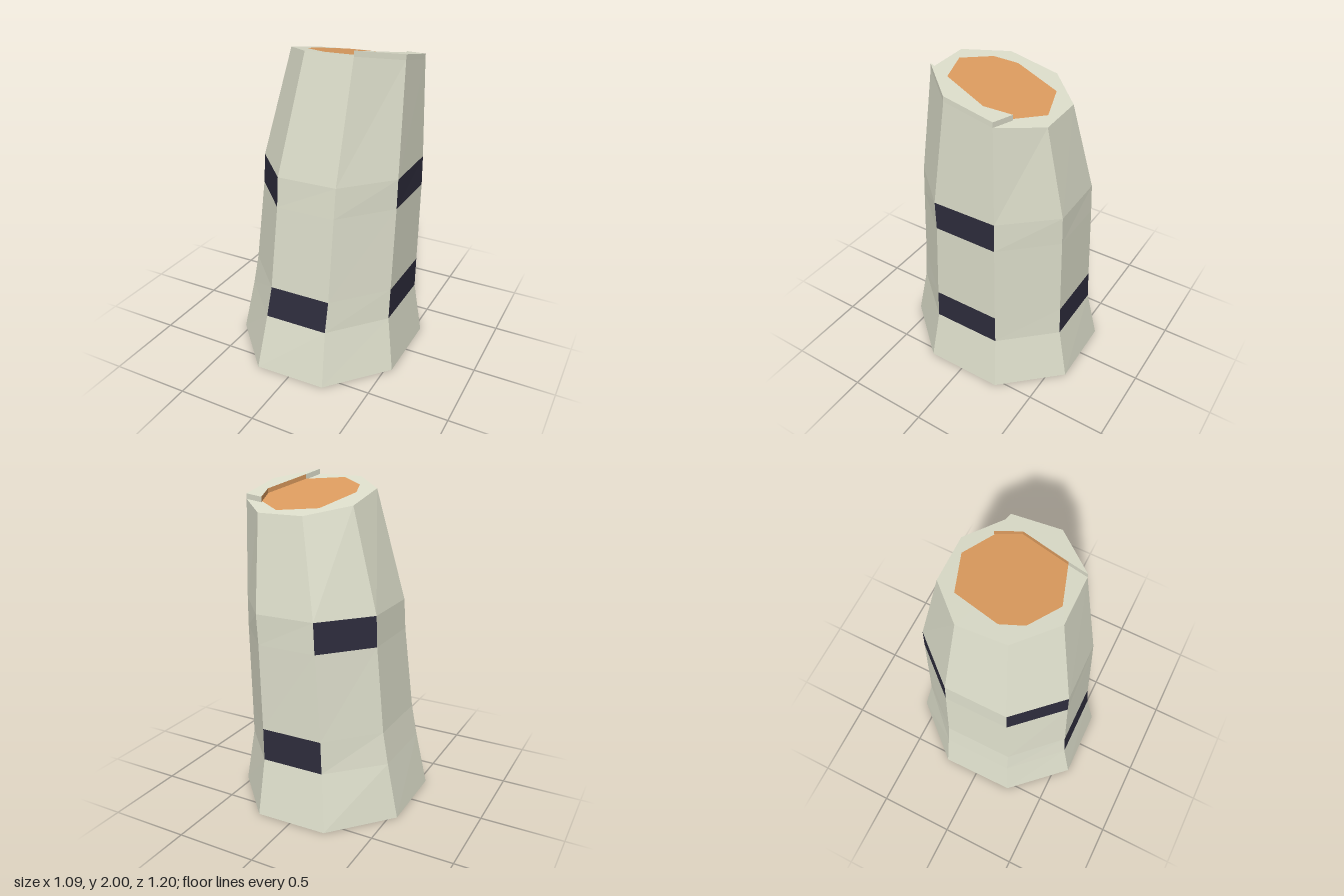
import * as THREE from 'three';

const bark = new THREE.MeshStandardMaterial({ color: 0xdcddca, side: THREE.DoubleSide });
bark.name = 'paleBark';
const dark = new THREE.MeshStandardMaterial({ color: 0x2d2c3c, side: THREE.DoubleSide });
dark.name = 'darkBark';
const wood = new THREE.MeshStandardMaterial({ color: 0xdc9b5e, side: THREE.DoubleSide });
wood.name = 'heartwood';

// Slanted cut across the top of the trunk
const cutY = (z) => 1.91 + 0.2 * z;
const CHIP = 0.032;

// Eight-sided cross-sections [x, z], counterclockwise seen from above, from the front face's -x corner
const sections = [
  [0, [[-0.22, 0.595], [0.23, 0.585], [0.54, 0.235], [0.54, -0.26], [0.22, -0.6], [-0.23, -0.59], [-0.545, -0.235], [-0.54, 0.255]]],
  [0.35, [[-0.185, 0.52], [0.215, 0.515], [0.49, 0.2], [0.49, -0.235], [0.21, -0.535], [-0.185, -0.53], [-0.475, -0.235], [-0.475, 0.22]]],
  [0.55, [[-0.16, 0.495], [0.225, 0.49], [0.492, 0.19], [0.492, -0.235], [0.215, -0.53], [-0.175, -0.525], [-0.44, -0.235], [-0.44, 0.21]]],
  [1.08, [[-0.125, 0.455], [0.24, 0.45], [0.497, 0.16], [0.497, -0.24], [0.23, -0.525], [-0.14, -0.52], [-0.39, -0.235], [-0.39, 0.175]]],
  [1.265, [[-0.12, 0.445], [0.245, 0.435], [0.5, 0.16], [0.495, -0.24], [0.24, -0.525], [-0.13, -0.515], [-0.38, -0.23], [-0.38, 0.17]]],
  [null, [[-0.01, 0.305], [0.28, 0.3], [0.48, 0.07], [0.48, -0.23], [0.27, -0.425], [-0.015, -0.42], [-0.215, -0.205], [-0.215, 0.1]]],
];

// Faces that are dark, per level between two sections
const darkFaces = { 1: [0, 2, 4], 3: [2, 5, 7] };

const quad = (a, b, c, d) => [a, b, c, a, c, d];

// Flat polygon lying on the cut, raised by lift
function cutPolygon(points, lift) {
  const flat = points.map(([x, z]) => new THREE.Vector2(x, -z));
  return THREE.ShapeUtils.triangulateShape(flat, []).flat()
    .map((i) => [points[i][0], cutY(points[i][1]) + lift, points[i][1]]);
}

// Vertical wall from the cut up to the chip's top
function wall([x1, z1], [x2, z2]) {
  const y1 = cutY(z1), y2 = cutY(z2);
  return quad([x1, y1, z1], [x2, y2, z2], [x2, y2 + CHIP, z2], [x1, y1 + CHIP, z1]);
}

function facetMesh(name, corners, material) {
  const geometry = new THREE.BufferGeometry();
  geometry.setAttribute('position', new THREE.Float32BufferAttribute(corners.flat(), 3));
  geometry.computeVertexNormals();
  const mesh = new THREE.Mesh(geometry, material);
  mesh.name = name;
  return mesh;
}

export function createModel() {
  const group = new THREE.Group();
  group.name = 'treeStump';

  // Trunk sides, open at the bottom, with dark marks on some faces
  const rings = sections.map(([y, pts]) => pts.map(([x, z]) => [x, y ?? cutY(z), z]));
  const trunk = [], marks = [];
  for (let level = 0; level < rings.length - 1; level++) {
    const low = rings[level], high = rings[level + 1];
    for (let i = 0; i < 8; i++) {
      const j = (i + 1) % 8;
      const target = darkFaces[level]?.includes(i) ? marks : trunk;
      target.push(...quad(low[i], low[j], high[j], high[i]));
    }
  }
  group.add(facetMesh('trunk', trunk, bark));
  group.add(facetMesh('barkMarks', marks, dark));

  // Cut top and the heartwood plate on it
  const rim = sections[5][1];
  group.add(facetMesh('cutTop', cutPolygon(rim, 0), bark));
  const heart = [[-0.13, 0], [-0.085, 0.135], [0.08, 0.255], [0.312, 0.18],
    [0.4, -0.12], [0.35, -0.26], [0.18, -0.375], [-0.05, -0.295]];
  group.add(facetMesh('heartwood', cutPolygon(heart, 0.004), wood));

  // Raised splinter left along one edge of the cut
  const chip = [rim[1], rim[2], rim[3], [0.35, -0.267], [0.4, -0.12], [0.312, 0.18]];
  const chipBark = cutPolygon(chip, CHIP), chipWood = [];
  chip.forEach((p, i) => {
    const target = i === 3 || i === 4 ? chipWood : chipBark;
    target.push(...wall(p, chip[(i + 1) % chip.length]));
  });
  group.add(facetMesh('splinter', chipBark, bark));
  group.add(facetMesh('splinterInnerWall', chipWood, wood));

  return group;
}
